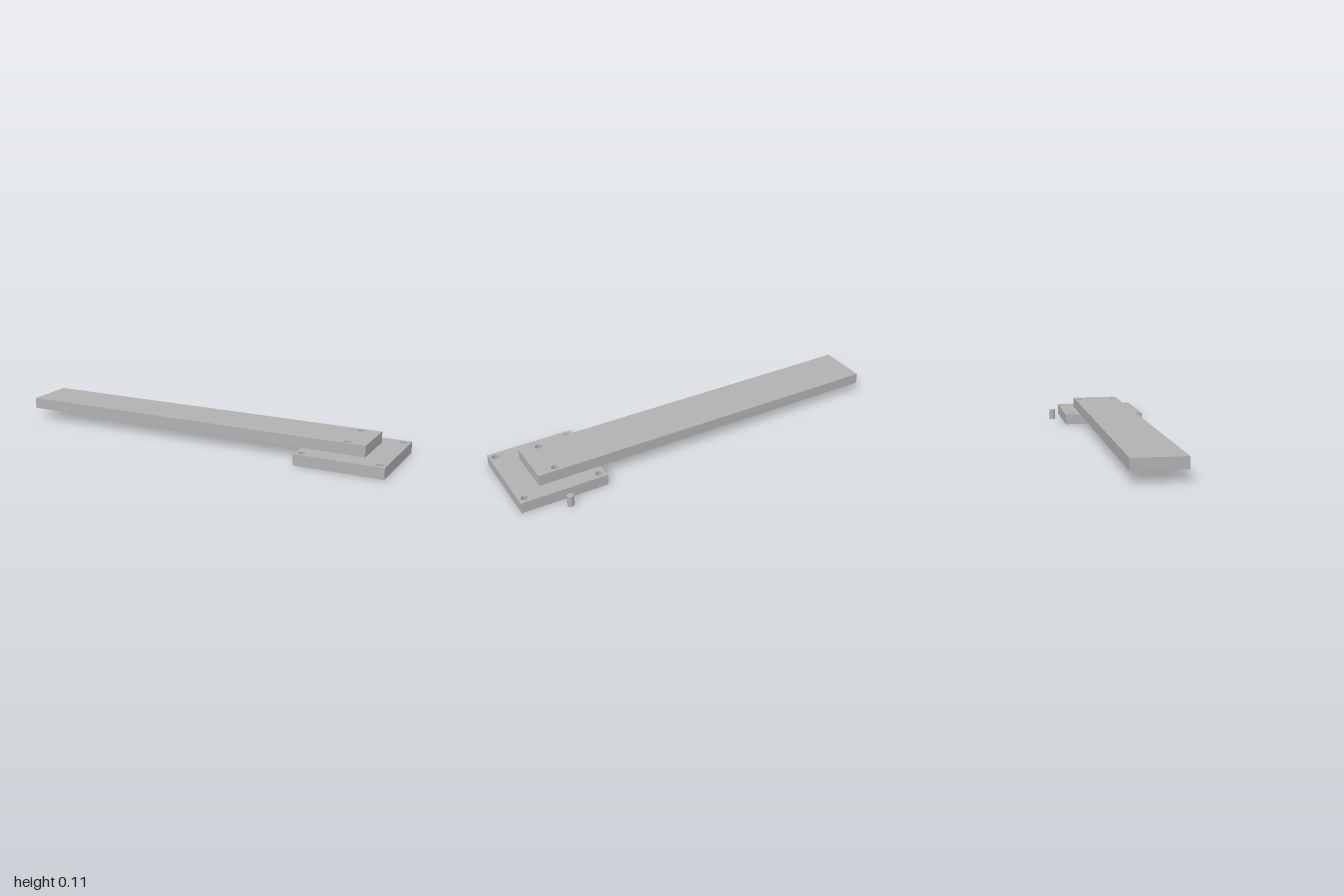
import * as THREE from 'three';
import { toCreasedNormals } from 'three/addons/utils/BufferGeometryUtils.js';

const T = 0.0555; // thickness of both plates
const HOLE_R = 0.0175;

// Flat rectangular plate in the xz plane, drilled through at the given [x, z] points
function drilledPlate(name, x0, x1, z0, z1, top, holes, material) {
  const shape = new THREE.Shape([
    new THREE.Vector2(x0, z0), new THREE.Vector2(x1, z0),
    new THREE.Vector2(x1, z1), new THREE.Vector2(x0, z1),
  ]);
  for (const [x, z] of holes) {
    shape.holes.push(new THREE.Path().absarc(x, z, HOLE_R, 0, Math.PI * 2, true));
  }
  const extruded = new THREE.ExtrudeGeometry(shape, { depth: T, bevelEnabled: false, curveSegments: 32 });
  extruded.rotateX(Math.PI / 2); // shape y becomes z, depth goes down from the top face
  const mesh = new THREE.Mesh(toCreasedNormals(extruded, 0.6), material);
  mesh.name = name;
  mesh.position.y = top;
  return mesh;
}

export function createModel() {
  const group = new THREE.Group();
  group.name = 'armWithMountingPlate';
  const grey = new THREE.MeshStandardMaterial({ color: 0xb2b2b2 });
  grey.name = 'plainGrey';

  // Pin holes pass through both the arm and the plate
  const cx = 0.7795, cz = 0.036, inset = 0.1885;
  const pinHoles = [[cx, -0.074], [cx, 0.124]];
  const cornerHoles = [];
  for (const sx of [-1, 1]) for (const sz of [-1, 1]) cornerHoles.push([cx + sx * inset, cz + sz * inset]);

  group.add(drilledPlate('mountingPlate', 0.559, 1, -0.185, 0.257, T, [...cornerHoles, ...pinHoles], grey));
  group.add(drilledPlate('longArm', -1, 0.874, -0.102, 0.152, 2 * T, pinHoles, grey));

  // Loose dowel pin standing behind the plate
  const pin = new THREE.Mesh(new THREE.CylinderGeometry(0.0165, 0.0165, T, 32), grey);
  pin.name = 'dowelPin';
  pin.position.set(cx, T / 2, -0.2405);
  group.add(pin);

  return group;
}
